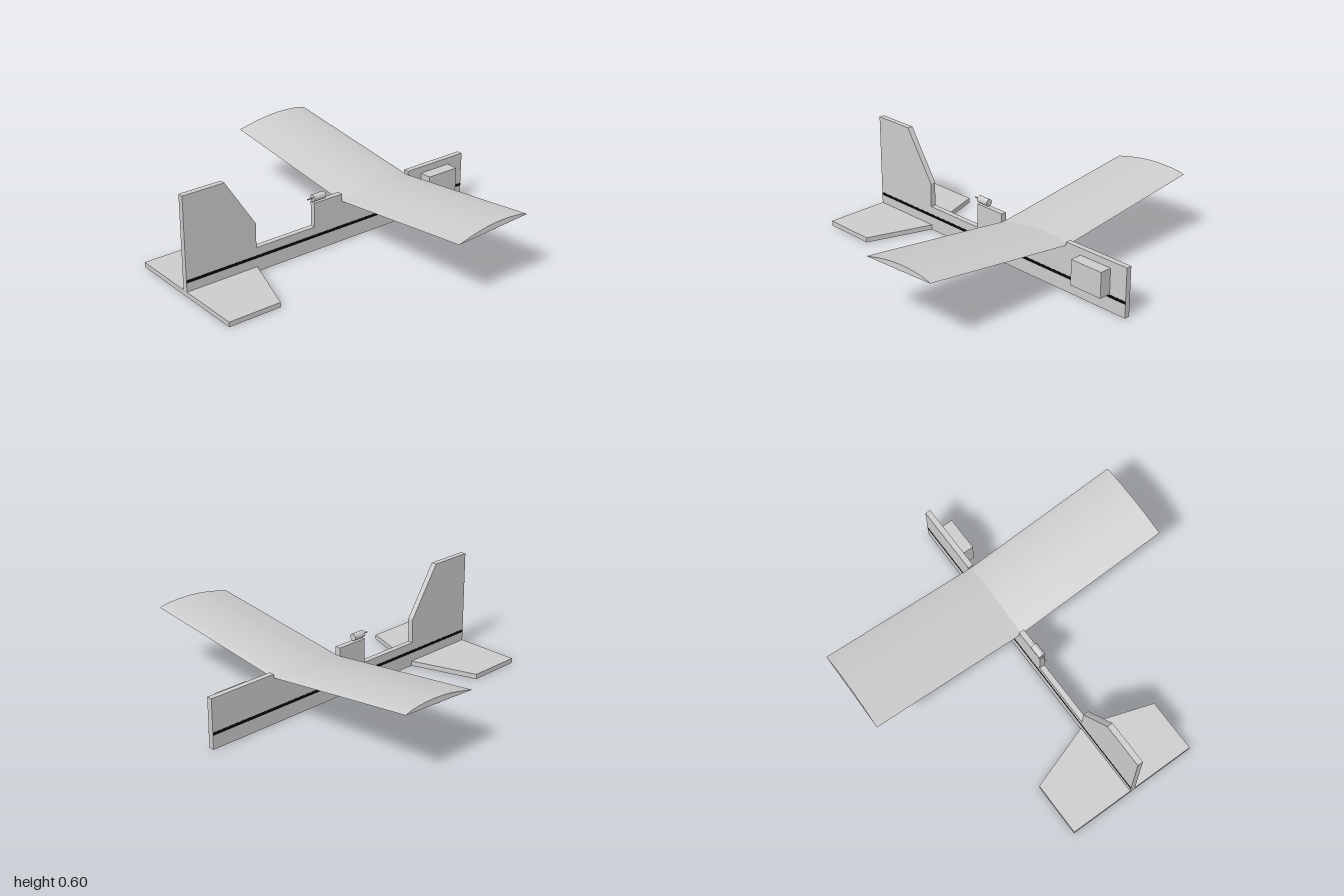
import * as THREE from 'three';
import { toCreasedNormals } from 'three/addons/utils/BufferGeometryUtils.js';

const grey = new THREE.MeshStandardMaterial({ color: 0xcccccc });
const black = new THREE.MeshStandardMaterial({ color: 0x0a0a0a });
const T = 0.034; // board thickness

const shapeOf = (pts) => new THREE.Shape(pts.map(([x, y]) => new THREE.Vector2(x, y)));
const extrude = (shape, depth, curveSegments = 1) =>
  new THREE.ExtrudeGeometry(shape, { depth, bevelEnabled: false, curveSegments });

function add(parent, name, geometry, material = grey) {
  const mesh = new THREE.Mesh(geometry, material);
  mesh.name = name;
  parent.add(mesh);
  return mesh;
}

function box(parent, name, size, pos, material) {
  const mesh = add(parent, name, new THREE.BoxGeometry(...size), material);
  mesh.position.set(...pos);
  return mesh;
}

function rod(parent, name, radius, x0, x1, y, sides) {
  const geo = new THREE.CylinderGeometry(radius, radius, x1 - x0, sides).rotateZ(Math.PI / 2);
  add(parent, name, geo).position.set((x0 + x1) / 2, y, 0);
}

export function createModel() {
  const model = new THREE.Group();
  model.name = 'modelGlider';

  // Flat fuselage board with upright fin and a saddle cut for the wing
  const profile = shapeOf([
    [-1, 0], [1, 0], [1, 0.3], [0.565, 0.3], [0.565, 0.277], [0.065, 0.251], [0.065, 0.3],
    [-0.135, 0.3], [-0.135, 0.15], [-0.54, 0.15], [-0.54, 0.3], [-0.735, 0.6], [-1, 0.6],
  ]);
  add(model, 'fuselageAndFin', extrude(profile, T).translate(0, 0, -T / 2));

  // Dark stripe along both sides of the board
  for (const s of [1, -1]) {
    box(model, s > 0 ? 'leftFaceStripe' : 'rightFaceStripe', [2, 0.017, 0.002], [0, 0.092, s * (T / 2 + 0.0005)], black);
  }

  // Tailplane lying on the ground plane
  const tail = shapeOf([
    [-1, -0.415], [-0.67, -0.415], [-0.537, -0.017], [-0.537, 0.017], [-0.67, 0.415], [-1, 0.415],
  ]);
  add(model, 'tailplane', extrude(tail, 0.03).rotateX(-Math.PI / 2));

  // Block on the side of the nose
  box(model, 'noseBlock', [0.215, 0.155, 0.075], [0.78, 0.181, T / 2 + 0.0365]);

  // Small motor with its shaft behind the wing
  rod(model, 'motor', 0.021, -0.135, -0.055, 0.326, 24);
  rod(model, 'motorShaft', 0.004, -0.17, -0.135, 0.326, 12);

  // Wing: two cambered panels with dihedral, pitched nose-up
  const wing = new THREE.Group();
  wing.name = 'wing';
  wing.position.set(0.066, 0.25, 0);
  wing.rotation.z = 0.053;
  model.add(wing);

  const chord = 0.5, span = 0.998, dihedral = 0.121;
  const airfoil = new THREE.Shape();
  airfoil.moveTo(0, 0);
  airfoil.lineTo(chord, 0);
  airfoil.splineThru([[0.94, 0.011], [0.8, 0.024], [0.6, 0.032], [0.4, 0.03], [0.2, 0.018], [0, 0]]
    .map(([t, y]) => new THREE.Vector2(t * chord, y)));

  for (const s of [1, -1]) {
    const panel = new THREE.Group();
    panel.name = s > 0 ? 'leftWingPanel' : 'rightWingPanel';
    panel.rotation.x = -s * dihedral;
    wing.add(panel);
    const skin = extrude(airfoil, span, 4).translate(0, 0, s > 0 ? 0 : -span);
    add(panel, 'wingSkin', toCreasedNormals(skin, 0.5));
    box(panel, 'sparStrip', [0.019, 0.002, span], [0.258, -0.0005, s * span / 2], black);
  }
  return model;
}
